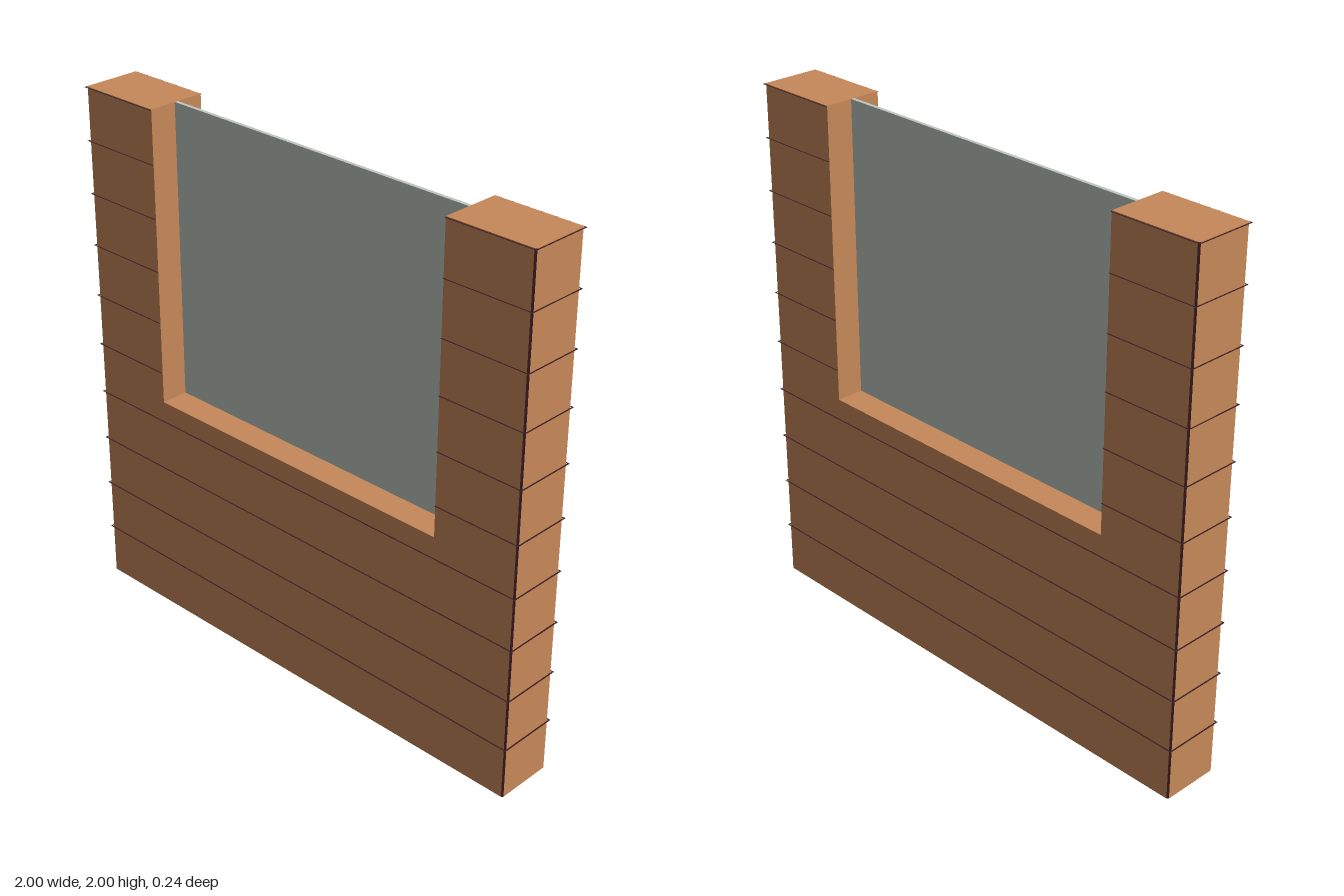
import * as THREE from 'three';

export function createModel() {
  const wood = new THREE.MeshStandardMaterial({ color: 0xc8895a, side: THREE.DoubleSide });
  wood.name = 'warm wood';
  const seam = new THREE.MeshStandardMaterial({ color: 0x3a1c22 });
  seam.name = 'dark seam';
  const glass = new THREE.MeshStandardMaterial({ color: 0xbec8c1 });
  glass.name = 'pale glass';

  const X = 0.994, Z = 0.113, H = 2; // wall half width, half depth, height
  const OX = 0.655, SILL = 0.88;     // window half width, sill height
  const C = 0.006, LIP = 0.006;      // corner bevel, seam overhang

  const root = new THREE.Group();
  root.name = 'windowWall';

  function panel(name, mat, w, h, pos, rx = 0, ry = 0) {
    const m = new THREE.Mesh(new THREE.PlaneGeometry(w, h), mat);
    m.name = name;
    m.position.set(...pos);
    m.rotation.set(rx, ry, 0);
    root.add(m);
  }

  // U-shaped front and back faces
  const outline = new THREE.Shape([
    [-X + C, 0], [X - C, 0], [X - C, H], [OX, H], [OX, SILL], [-OX, SILL], [-OX, H], [-X + C, H],
  ].map(([x, y]) => new THREE.Vector2(x, y)));
  for (const s of [1, -1]) {
    const face = new THREE.Mesh(new THREE.ShapeGeometry(outline), wood);
    face.name = s > 0 ? 'frontFace' : 'backFace';
    face.position.z = s * Z;
    if (s < 0) face.rotation.y = Math.PI;
    root.add(face);
  }

  // Ends, jambs, post tops and bevelled corners; the underside stays open
  for (const s of [1, -1]) {
    const side = s > 0 ? 'left' : 'right';
    panel(side + 'End', wood, 2 * (Z - C), H, [s * X, H / 2, 0], 0, s * Math.PI / 2);
    panel(side + 'Jamb', wood, 2 * Z, H - SILL, [s * OX, (H + SILL) / 2, 0], 0, -s * Math.PI / 2);
    panel(side + 'PostTop', wood, X - OX, 2 * Z, [s * (X + OX) / 2, H, 0], -Math.PI / 2);
    for (const f of [1, -1]) {
      panel(side + 'Corner', seam, C * Math.SQRT2, H, [s * (X - C / 2), H / 2, f * (Z - C / 2)],
        0, Math.atan2(s, f));
    }
  }
  panel('sill', wood, 2 * OX, 2 * Z, [0, SILL, 0], -Math.PI / 2);

  // Narrow upward-facing ledges between the board courses
  for (let i = 1; i <= 10; i++) {
    const y = i === 10 ? H - 0.003 : i * 0.2;
    for (const s of [1, -1]) {
      panel('endSeam', seam, LIP, 2 * (Z + LIP), [s * (X + LIP / 2), y, 0], -Math.PI / 2);
      const z = s * (Z + LIP / 2);
      if (y < SILL) {
        panel('courseSeam', seam, 2 * X, LIP, [0, y, z], -Math.PI / 2);
      } else {
        for (const p of [1, -1]) {
          panel('postSeam', seam, X - OX, LIP, [p * (X + OX) / 2, y, z], -Math.PI / 2);
        }
      }
    }
  }

  // Window pane
  const pane = new THREE.Mesh(new THREE.BoxGeometry(2 * OX, H - SILL, 0.014), glass);
  pane.name = 'windowPane';
  pane.position.y = (H + SILL) / 2;
  root.add(pane);

  return root;
}
